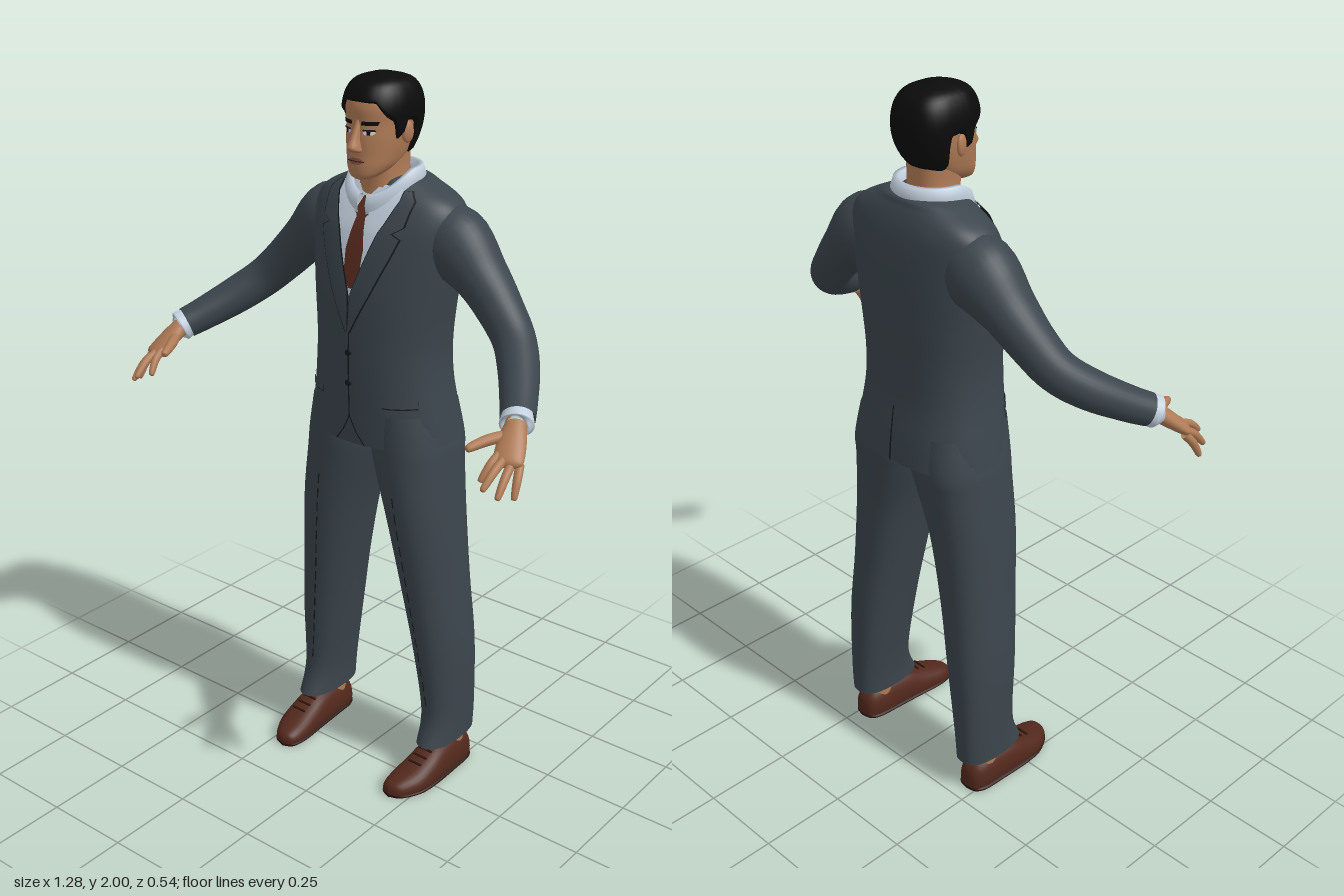
import * as THREE from 'three';

const mat = (name, color) => {
  const m = new THREE.MeshStandardMaterial({ color, side: THREE.DoubleSide });
  m.name = name;
  return m;
};

// Surface from fn(u, v) -> [x, y, z]; u may wrap round
function grid(fn, nu, nv, closed) {
  const pos = [], idx = [], w = closed ? nu : nu + 1;
  for (let j = 0; j <= nv; j++) for (let i = 0; i < w; i++) pos.push(...fn(i / nu, j / nv));
  for (let j = 0; j < nv; j++) for (let i = 0; i < nu; i++) {
    const a = j * w + i, b = j * w + (i + 1) % w;
    idx.push(a, b, a + w, b, b + w, a + w);
  }
  const g = new THREE.BufferGeometry();
  g.setAttribute('position', new THREE.Float32BufferAttribute(pos, 3));
  g.setIndex(idx);
  g.computeVertexNormals();
  return g;
}

function mirror(geo) {
  const g = geo.clone().scale(-1, 1, 1), ix = g.index;
  for (let i = 0; i < ix.count; i += 3) {
    const b = ix.getX(i + 1);
    ix.setX(i + 1, ix.getX(i + 2));
    ix.setX(i + 2, b);
  }
  return g;
}

// Smooth (or straight) interpolation of every column of a key table
function sample(keys, t, straight) {
  const n = keys.length - 1, f = Math.min(t, 1) * n, i = Math.min(Math.floor(f), n - 1), s = f - i;
  const [p, q, r, e] = [keys[Math.max(i - 1, 0)], keys[i], keys[i + 1], keys[Math.min(i + 2, n)]];
  return q.map((b, c) => straight ? b + (r[c] - b) * s
    : b + 0.5 * s * (r[c] - p[c] + s * (2 * p[c] - 5 * b + 4 * r[c] - e[c] + s * (3 * (b - r[c]) + e[c] - p[c]))));
}
function sampleAtY(keys, y) {
  let lo = 0, hi = 1;
  for (let i = 0; i < 24; i++) {
    const m = (lo + hi) / 2;
    if (sample(keys, m)[0] < y) lo = m; else hi = m;
  }
  return sample(keys, lo);
}

// Upright body: keys are [y, centre x, half width, front z, back z]
const NF = 2.2, NB = 2.7;
const sp = (c, n) => Math.sign(c) * Math.abs(c) ** (2 / n);
function ring([y, cx, rx, zf, zb], a, off = 0) {
  const n = Math.sin(a) < 0 ? NF : NB;
  return [cx + (Math.max(rx, 0) + off) * sp(Math.cos(a), n), y, (zf + zb) / 2 - (Math.max(zf - zb, 0) / 2 + off) * sp(Math.sin(a), n)];
}
const body = (keys, nu = 40) =>
  grid((u, v) => ring(sample(keys, v), u * Math.PI * 2), nu, (keys.length - 1) * 5, true);

// Plate laid on a body: rows are [y, x from, x to], bottom to top
function plate(keys, rows, off, back) {
  return grid((u, v) => {
    const [y, x0, x1] = sample(rows, v, true), x = x0 + (x1 - x0) * u;
    const [, cx, rx, zf, zb] = sampleAtY(keys, y), n = back ? NB : NF;
    const d = Math.max(0, 1 - Math.abs((x - cx) / rx) ** n) ** (1 / n) * (zf - zb) / 2 + off;
    return [x, y, (zf + zb) / 2 + (back ? -d : d)];
  }, 8, (rows.length - 1) * 6);
}

// Limb along a path: keys are [x, y, z, radius across, radius thick]
function limb(keys, nu = 24) {
  const up = new THREE.Vector3(0, 1, 0), vec = k => new THREE.Vector3(k[0], k[1], k[2]);
  return grid((u, v) => {
    const k = sample(keys, v);
    const T = vec(sample(keys, Math.min(v + 0.01, 1))).sub(vec(sample(keys, Math.max(v - 0.01, 0)))).normalize();
    const U = T.clone().cross(up).normalize(), V = T.clone().cross(U), a = u * Math.PI * 2;
    return vec(k).addScaledVector(U, k[3] * Math.cos(a)).addScaledVector(V, k[4] * Math.sin(a)).toArray();
  }, nu, (keys.length - 1) * 5, true);
}

// Shoe: keys are [z, centre x, half width, top height]
function shoeShape(keys) {
  return grid((u, v) => {
    const [z, cx, w, h] = sample(keys, v), a = u * Math.PI * 2, s = Math.sin(a), base = h * 0.35;
    return [cx + w * sp(Math.cos(a), 2.6), s > 0 ? base + (h - base) * s : base + base * sp(s, 5), z];
  }, 28, (keys.length - 1) * 4, true);
}

export function createModel() {
  const model = new THREE.Group();
  const M = {
    suit: mat('suit cloth', 0x3b454c), seam: mat('dark seam', 0x171b1f), shirt: mat('shirt', 0xc3d0de),
    tie: mat('tie', 0x5a2c20), skin: mat('skin', 0xb07b56), hair: mat('hair', 0x0b0b0b),
    shoe: mat('shoe leather', 0x52281c), sole: mat('sole', 0x2b140e), lip: mat('lips', 0x8a5340), eye: mat('eye white', 0xd8d4cc),
  };
  const add = (name, geo, m) => {
    const mesh = new THREE.Mesh(geo, m);
    mesh.name = name;
    model.add(mesh);
  };
  const pair = (name, geo, m) => {
    add('left ' + name, geo, m);
    add('right ' + name, mirror(geo), m);
  };

  // Jacket
  const jacket = [
    [1.025, 0, .217, .045, -.265], [1.1, 0, .207, .047, -.258], [1.2, 0, .192, .05, -.245], [1.3, 0, .187, .05, -.245],
    [1.42, 0, .198, .045, -.25], [1.52, 0, .212, .03, -.25], [1.6, 0, .222, .01, -.245], [1.65, 0, .222, -.012, -.238],
    [1.685, 0, .198, -.03, -.228], [1.715, 0, .14, -.045, -.215], [1.735, 0, .09, -.055, -.2], [1.74, 0, .04, -.08, -.13]];
  add('jacket', body(jacket, 56), M.suit);
  add('shirt front', plate(jacket, [[1.44, -.004, .004], [1.6, -.06, .06], [1.68, -.1, .1], [1.72, -.095, .095]], .003), M.shirt);
  add('tie', plate(jacket, [[1.46, -.006, .006], [1.5, -.025, .025], [1.56, -.028, .028], [1.64, -.014, .014],
    [1.65, -.021, .021], [1.69, -.019, .019]], .006), M.tie);
  const lapel = [[1.34, 0, .004], [1.45, .006, .06], [1.55, .042, .105], [1.6, .06, .124], [1.612, .065, .1],
    [1.63, .075, .128], [1.69, .1, .135], [1.712, .1, .115]];
  pair('lapel edge', plate(jacket, lapel.map(([y, a, b]) => [y, a - .003, b + .004]), .007), M.seam);
  pair('lapel', plate(jacket, lapel, .009), M.suit);
  pair('pocket flap edge', plate(jacket, [[1.143, .1, .178], [1.166, .098, .176]], .003), M.seam);
  pair('pocket flap', plate(jacket, [[1.147, .1, .178], [1.17, .098, .176]], .005), M.suit);
  pair('jacket cutaway edge', plate(jacket, [[1.027, .045, .05], [1.06, .02, .024], [1.1, 0, .004]], .002), M.seam);
  add('jacket front edge', plate(jacket, [[1.1, -.002, .002], [1.34, -.002, .002]], .002), M.seam);
  add('back vent', plate(jacket, [[1.027, -.003, .003], [1.18, -.002, .002]], .003, true), M.seam);
  for (const y of [1.2, 1.285]) {
    const b = new THREE.CylinderGeometry(.009, .009, .006, 16).rotateX(Math.PI / 2);
    add('button', b.translate(0, y, .053), M.seam);
  }

  // Sleeves, cuffs and hands
  pair('sleeve', limb([[.12, 1.585, -.135, .07, .08], [.2, 1.575, -.137, .09, .1], [.29, 1.505, -.13, .074, .07],
    [.36, 1.435, -.117, .062, .06], [.42, 1.375, -.093, .056, .055], [.475, 1.325, -.035, .053, .052],
    [.53, 1.278, .045, .047, .046], [.558, 1.256, .09, .044, .043]], 32), M.suit);
  pair('cuff', limb([[.548, 1.264, .075, .036, .036], [.56, 1.254, .095, .041, .041], [.567, 1.247, .107, .043, .042],
    [.568, 1.246, .109, .028, .026]]), M.shirt);
  pair('palm', limb([[.555, 1.258, .085, .027, .024], [.565, 1.245, .108, .028, .024], [.576, 1.223, .137, .035, .022],
    [.59, 1.195, .17, .038, .018], [.597, 1.18, .188, .033, .013], [.6, 1.174, .196, 0, 0]]), M.skin);
  const fingers = {
    'index finger': [[.568, 1.2, .175], [.564, 1.178, .212], [.556, 1.145, .238]],
    'middle finger': [[.585, 1.19, .185], [.586, 1.172, .228], [.583, 1.14, .267]],
    'ring finger': [[.603, 1.18, .18], [.61, 1.157, .216], [.614, 1.12, .25]],
    'little finger': [[.618, 1.178, .165], [.628, 1.148, .19], [.634, 1.11, .21]],
    'thumb': [[.558, 1.228, .135], [.53, 1.222, .182], [.51, 1.212, .228]],
  };
  for (const [name, [a, b, c]] of Object.entries(fingers)) {
    const r = name === 'thumb' ? .014 : .011, tip = c.map((x, i) => x + (c[i] - b[i]) * .08);
    pair(name, limb([[...a, r, r], [...b, r, r], [...c, r * .7, r * .7], [...tip, 0, 0]], 12), M.skin);
  }

  // Trousers
  const leg = [[.105, .222, .054, -.005, -.222], [.2, .219, .057, -.035, -.225], [.4, .203, .07, -.02, -.228],
    [.6, .177, .08, 0, -.222], [.8, .148, .093, .02, -.225], [.95, .118, .107, .027, -.24],
    [1.02, .108, .109, .03, -.25], [1.12, .1, .095, .03, -.24]];
  pair('trouser leg', body(leg), M.suit);
  for (let i = 0; i < 14; i++) {
    const at = t => [.23 + .675 * t, .213 - .087 * t - .002, .213 - .087 * t + .002];
    pair('trouser crease', plate(leg, [at(i / 14), at((i + .65) / 14)], .002), M.seam);
  }

  // Ankles and shoes
  pair('ankle', new THREE.CylinderGeometry(.042, .04, .1, 20).translate(.223, .11, -.14), M.skin);
  const shoe = [[-.207, .225, 0, .04], [-.2, .225, .03, .07], [-.17, .225, .045, .095], [-.11, .224, .049, .102],
    [-.05, .223, .052, .097], [0, .221, .054, .078], [.05, .216, .053, .06], [.09, .208, .043, .048],
    [.115, .203, .028, .037], [.125, .201, 0, .02]];
  pair('shoe', shoeShape(shoe), M.shoe);
  pair('sole', shoeShape(shoe.map(([z, x, w]) => [z, x, w * 1.04, .016])), M.sole);
  for (const [z, y] of [[-.025, .089], [0, .08], [.025, .071]]) {
    pair('lace', new THREE.BoxGeometry(.045, .004, .005).rotateX(.35).translate(.22, y, z), M.sole);
  }

  // Neck and collar
  add('neck', body([[1.66, 0, .066, -.03, -.165], [1.72, 0, .06, -.032, -.165], [1.76, 0, .058, -.03, -.163],
    [1.8, 0, .06, -.03, -.163]]), M.skin);
  add('collar', grid((u, v) => {
    const a = .12 + u * (Math.PI * 2 - .24), front = Math.max(0, Math.cos(a));
    const r = [.1, .106, .098, .084, .078][Math.round(v * 4)];
    const y = 1.762 - .066 * front ** 1.4 - [.055, .025, 0, 0, .03][Math.round(v * 4)];
    return [r * Math.sin(a), y, -.103 + r * .98 * Math.cos(a)];
  }, 48, 4), M.shirt);
  pair('collar wing', plate(jacket, [[1.61, .047, .05], [1.65, .024, .072], [1.69, .007, .085], [1.715, .03, .095]], .009), M.shirt);

  // Head
  const head = [[1.737, 0, 0, .005, -.02], [1.746, 0, .034, .018, -.05], [1.77, 0, .056, .021, -.11], [1.8, 0, .067, .019, -.15],
    [1.84, 0, .075, .018, -.178], [1.88, 0, .079, .014, -.19], [1.92, 0, .08, .015, -.188], [1.955, 0, .07, .002, -.175],
    [1.977, 0, .05, -.025, -.147], [1.99, 0, 0, -.085, -.086]];
  add('head', body(head, 48), M.skin);
  add('nose', body([[1.808, 0, .008, .02, 0], [1.814, 0, .017, .038, 0], [1.824, 0, .016, .049, 0],
    [1.845, 0, .011, .038, 0], [1.87, 0, .009, .024, 0], [1.892, 0, .007, .014, 0]], 20), M.skin);
  const ear = new THREE.SphereGeometry(1, 16, 12).scale(.009, .028, .018);
  pair('ear', ear.rotateY(-.3).translate(.083, 1.855, -.085), M.skin);
  pair('eyebrow', plate(head, [[1.879, .014, .052], [1.889, .016, .056]], .004), M.hair);
  pair('eye', plate(head, [[1.855, .024, .042], [1.861, .018, .048], [1.866, .024, .044]], .002), M.eye);
  pair('iris', plate(head, [[1.855, .029, .037], [1.866, .028, .038]], .003), M.hair);
  pair('upper eyelid', plate(head, [[1.865, .017, .05], [1.869, .02, .047]], .004), M.seam);
  add('mouth', plate(head, [[1.78, -.012, .012], [1.788, -.027, .027], [1.796, -.01, .01]], .003), M.lip);
  add('mouth line', plate(head, [[1.787, -.026, .026], [1.789, -.026, .026]], .004), M.seam);

  // Hair, with the hairline height given by the angle from the front
  const line = [[0, 1.935], [.6, 1.933], [.9, 1.9], [1.15, 1.885], [1.28, 1.842], [1.43, 1.842], [1.52, 1.885],
    [1.75, 1.88], [1.92, 1.81], [2.3, 1.785], [3.15, 1.775]];
  const hairline = phi => {
    const i = line.findIndex(k => k[0] > phi), [p, q] = [line[i - 1], line[i]];
    return THREE.MathUtils.mapLinear(phi, p[0], q[0], p[1], q[1]);
  };
  add('hair', grid((u, v) => {
    const a = u * Math.PI * 2, h = hairline(Math.acos(THREE.MathUtils.clamp(-Math.sin(a), -1, 1)));
    const y = h + (1.99 - h) * Math.sin(v * Math.PI / 2);
    const p = ring(sampleAtY(head, y), a, v === 0 ? 0 : .01 * (1 - v ** 6));
    return [p[0], y + .01 * v, p[2]];
  }, 96, 20, true), M.hair);

  return model;
}
